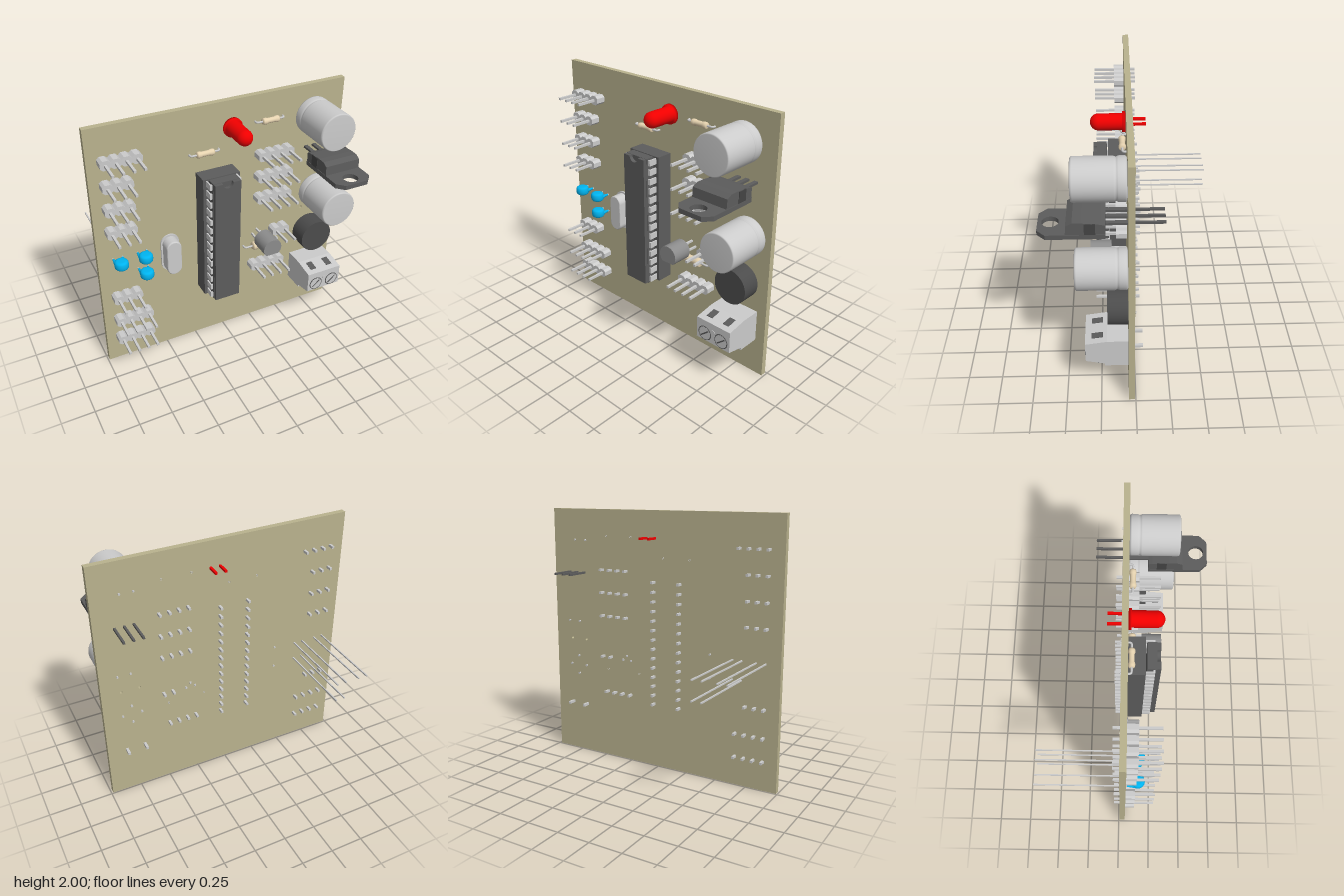
import * as THREE from 'three';

const mats = {};
const mat = (color = 0xcccccc) => (mats[color] ??= new THREE.MeshStandardMaterial({ color, side: THREE.DoubleSide }));
const GREY = 0xcccccc, DARK = 0x5c5c5c, RED = 0xf00000, BLUE = 0x00b4f0, TAN = 0xe6d3b0;
const FACE = 0.05, PITCH = 0.0735;

function add(parent, name, geo, color, x = 0, y = 0, z = 0) {
  const m = new THREE.Mesh(geo, mat(color));
  m.name = name;
  m.position.set(x, y, z);
  parent.add(m);
  return m;
}
function group(parent, name, x = 0, y = 0, z = 0) {
  const g = new THREE.Group();
  g.name = name;
  g.position.set(x, y, z);
  parent.add(g);
  return g;
}
const box = (w, h, d) => new THREE.BoxGeometry(w, h, d);
const rodZ = (r, len, n = 32) => new THREE.CylinderGeometry(r, r, len, n).rotateX(Math.PI / 2);
const v2 = (pts) => pts.map(([x, y]) => new THREE.Vector2(x, y));
const latheZ = (pts, n = 48) => new THREE.LatheGeometry(v2(pts), n).rotateX(Math.PI / 2);
const poly = (pts) => new THREE.Shape(v2(pts));
const extrude = (shape, depth, curveSegments = 16) =>
  new THREE.ExtrudeGeometry(shape, { depth, bevelEnabled: false, curveSegments });
const circle = (x, y, r) => new THREE.Path().absarc(x, y, r, 0, Math.PI * 2, true);
const rect = (x0, y0, x1, y1) => poly([[x0, y0], [x1, y0], [x1, y1], [x0, y1]]);
function stadium(w, h) {
  const r = w / 2, s = h / 2 - r;
  return new THREE.Shape().absarc(0, s, r, 0, Math.PI, false).absarc(0, -s, r, Math.PI, Math.PI * 2, false);
}
// straight pin running from z0 to z1
const pin = (p, name, x, y, z0, z1, w, color = GREY, h = w) =>
  add(p, name, box(w, h, z1 - z0), color, x, y, (z0 + z1) / 2);

function header(p, x, y, n) {
  const g = group(p, 'pinHeader', x, y);
  for (let i = 0; i < n; i++) {
    const a = PITCH / 2, b = 0.018, h = 0.035;
    const s = poly([[-a, -b], [-b, -h], [b, -h], [a, -b], [a, b], [b, h], [-b, h], [-a, b]]);
    add(g, 'headerHousing', extrude(s, 0.075), GREY, i * PITCH, 0, FACE);
    pin(g, 'headerPin', i * PITCH, 0, -0.04, 0.28, 0.018);
  }
}

function resistor(p, x, y, span, len, r) {
  const g = group(p, 'resistor', x, y, FACE + r + 0.002);
  const h = len / 2, e = len * 0.22;
  const prof = [[0, -h], [r * 0.8, -h], [r, -h + 0.01], [r, -h + e], [r * 0.82, -h + e + 0.01],
    [r * 0.82, h - e - 0.01], [r, h - e], [r, h - 0.01], [r * 0.8, h], [0, h]];
  add(g, 'resistorBody', new THREE.LatheGeometry(v2(prof), 24).rotateZ(Math.PI / 2), TAN);
  const s = span / 2, drop = -(FACE + r + 0.002);
  const path = new THREE.CurvePath();
  const P = (a, b) => new THREE.Vector3(a, 0, b);
  path.add(new THREE.LineCurve3(P(h - 0.005, 0), P(s - 0.025, 0)));
  path.add(new THREE.QuadraticBezierCurve3(P(s - 0.025, 0), P(s - 0.008, 0), P(s - 0.008, -0.02)));
  path.add(new THREE.LineCurve3(P(s - 0.008, -0.02), P(s - 0.008, drop)));
  for (const k of [0, Math.PI]) {
    add(g, 'resistorLead', new THREE.TubeGeometry(path, 20, 0.008, 8), GREY).rotation.z = k;
  }
}

function electrolytic(p, x, y) {
  const g = group(p, 'electrolyticCapacitor', x, y, FACE);
  add(g, 'capacitorCan', latheZ([[0, 0], [0.13, 0], [0.141, 0.006], [0.143, 0.015], [0.143, 0.055], [0.138, 0.063],
    [0.136, 0.07], [0.138, 0.077], [0.143, 0.087], [0.143, 0.335], [0.141, 0.344], [0.134, 0.35], [0, 0.35]]), GREY);
  for (const s of [-1, 1]) add(g, 'capacitorLead', rodZ(0.008, 0.06, 8), GREY, s * 0.05, 0, -0.025);
}

function ceramic(p, x, y) {
  const g = group(p, 'ceramicCapacitor', x, y);
  const r = 0.052, t = 0.035, c = 0.025, prof = [[0, -t]];
  for (let i = 0; i <= 8; i++) {
    const a = -Math.PI / 2 + (i / 8) * Math.PI;
    prof.push([r - c + c * Math.cos(a), (t - c) * Math.sign(i - 4) + c * Math.sin(a)]);
  }
  prof.push([0, t]);
  add(g, 'ceramicBody', new THREE.LatheGeometry(v2(prof), 32), BLUE, 0, 0, 0.138);
  for (const s of [-1, 1]) {
    const collar = add(g, 'ceramicCollar', new THREE.CylinderGeometry(0.016, 0.008, 0.06, 12), BLUE, s * 0.034, 0, 0.09);
    collar.rotation.x = Math.PI / 2;
    pin(g, 'ceramicLead', s * 0.036, 0, -0.62, 0.1, 0.01);
  }
}

function chip(p) {
  const g = group(p, 'socketedChip', -0.073, 0.99);
  // open-frame socket
  const frame = rect(-0.143, -0.51, 0.143, 0.51);
  for (let i = 0; i < 3; i++) {
    const y = -0.46 + i * 0.32;
    frame.holes.push(rect(-0.075, y, 0.075, y + 0.28));
  }
  add(g, 'socketFrame', extrude(frame, 0.125), DARK, 0, 0, FACE);
  // chip body with a notch at its upper end
  add(g, 'chipLower', box(0.205, 1.02, 0.07), DARK, 0, 0, 0.22);
  const top = new THREE.Shape();
  top.moveTo(-0.1, -0.508).lineTo(0.1, -0.508).lineTo(0.1, 0.508).lineTo(0.04, 0.508);
  top.absarc(0, 0.508, 0.04, 0, -Math.PI, true);
  top.lineTo(-0.1, 0.508);
  add(g, 'chipUpper', extrude(top, 0.027), DARK, 0, 0, 0.255);
  for (let i = 0; i < 14; i++) for (const s of [-1, 1]) {
    const y = (i - 6.5) * PITCH;
    add(g, 'chipLegShoulder', box(0.026, 0.045, 0.012), GREY, s * 0.108, y, 0.235);
    pin(g, 'chipLeg', s * 0.116, y, 0.17, 0.241, 0.01, GREY, 0.045);
    pin(g, 'socketPin', s * 0.112, y, -0.04, FACE, 0.018);
  }
}

function led(p, x, y) {
  const g = group(p, 'lamp', x, y, FACE);
  const prof = [[0, 0], [0.072, 0], [0.072, 0.022], [0.058, 0.022], [0.058, 0.185]];
  for (let i = 1; i <= 10; i++) {
    const a = (i / 10) * Math.PI / 2;
    prof.push([0.058 * Math.cos(a), 0.185 + 0.058 * Math.sin(a)]);
  }
  add(g, 'lampDome', latheZ(prof), RED);
  for (const s of [-1, 1]) pin(g, 'lampLead', s * 0.037, 0, -0.14, 0.01, 0.017, RED);
}

function regulator(p) {
  const g = group(p, 'regulator', 0.762, 1.43);
  // metal tab, drawn with shape y as -z
  const tab = poly([[-0.143, -0.19], [0.143, -0.19], [0.143, -0.565], [0.09, -0.62], [-0.09, -0.62], [-0.143, -0.565]]);
  tab.holes.push(circle(0, -0.54, 0.055));
  add(g, 'regulatorTab', extrude(tab, 0.033).rotateX(-Math.PI / 2), DARK);
  // moulded body, side profile in (z, y), with side recesses
  const prof = poly([[0.19, 0.03], [0.44, 0.03], [0.435, 0.1], [0.395, 0.12], [0.34, 0.12], [0.22, 0.108], [0.19, 0.1]]);
  add(g, 'regulatorBody', extrude(prof, 0.28).rotateY(-Math.PI / 2), DARK, 0.14);
  for (const s of [-1, 1]) add(g, 'regulatorSideNotch', box(0.008, 0.08, 0.07), 0x444444, s * 0.139, 0.073, 0.287);
  for (let i = -1; i <= 1; i++) {
    pin(g, 'regulatorLead', i * 0.07, 0.07, -0.19, 0.2, 0.016, DARK);
    pin(g, 'regulatorLeadShoulder', i * 0.07, 0.07, 0.03, 0.2, 0.03, DARK, 0.016);
  }
}

function terminal(p) {
  const g = group(p, 'screwTerminal', 0.762, 0);
  const prof = poly([[0.05, 0.285], [0.22, 0.285], [0.22, 0.305], [0.355, 0.335], [0.355, 0.5], [0.2, 0.525], [0.05, 0.525]]);
  add(g, 'terminalBody', extrude(prof, 0.295).rotateY(-Math.PI / 2), GREY, 0.1475);
  add(g, 'terminalSlot', box(0.29, 0.016, 0.006), DARK, 0, 0.315, 0.262).rotation.x = -0.9;
  add(g, 'terminalStud', rodZ(0.015, 0.01, 20), GREY, 0, 0.435, 0.354);
  for (const s of [-1, 1]) {
    add(g, 'screwRim', new THREE.TorusGeometry(0.053, 0.004, 8, 32), DARK, s * 0.073, 0.395, 0.355);
    add(g, 'screwHead', rodZ(0.05, 0.008), GREY, s * 0.073, 0.395, 0.354);
    add(g, 'screwSlot', box(0.085, 0.01, 0.004), DARK, s * 0.073, 0.395, 0.358).rotation.z = 0.7;
    add(g, 'wireSlot', box(0.05, 0.004, 0.08), DARK, s * 0.073, 0.515, 0.27).rotation.x = 0.16;
    pin(g, 'terminalPin', s * 0.073, 0.405, -0.055, 0.06, 0.02);
  }
}

export function createModel() {
  const model = new THREE.Group();
  model.name = 'circuitBoard';

  // board with two open drill holes
  const board = rect(-0.99, 0, 0.985, 2);
  for (const x of [0.69, 0.832]) board.holes.push(circle(x, 0.955, 0.011));
  add(model, 'board', extrude(board, 0.043), 0xb9b28e, 0, 0, 0.007);

  for (const [y, n] of [[1.755, 4], [1.575, 3], [1.39, 3], [1.205, 3], [0.62, 3], [0.405, 4], [0.225, 4]]) header(model, -0.88, y, n);
  for (const [x, y, n] of [[0.29, 1.535, 4], [0.29, 1.355, 4], [0.29, 1.17, 4], [0.437, 0.84, 2], [0.255, 0.55, 4]]) header(model, x, y, n);

  chip(model);
  led(model, 0.07, 1.795);
  regulator(model);
  terminal(model);
  resistor(model, -0.15, 1.65, 0.24, 0.135, 0.024);
  resistor(model, 0.363, 1.797, 0.24, 0.135, 0.024);
  resistor(model, 0.325, 0.735, 0.31, 0.17, 0.034);
  electrolytic(model, 0.727, 1.757);
  electrolytic(model, 0.8, 1.1);
  for (const [x, y] of [[-0.842, 0.955], [-0.658, 0.955], [-0.658, 0.81]]) ceramic(model, x, y);

  // crystal can on its flange
  const crystal = group(model, 'crystal', -0.44, 0.88, FACE);
  add(crystal, 'crystalFlange', extrude(stadium(0.143, 0.32), 0.012), GREY);
  add(crystal, 'crystalCan', new THREE.ExtrudeGeometry(stadium(0.1, 0.275), {
    depth: 0.084, bevelThickness: 0.012, bevelSize: 0.008, bevelSegments: 4, curveSegments: 16 }), GREY, 0, 0, 0.002);
  for (const s of [-1, 1]) add(crystal, 'crystalLead', rodZ(0.008, 0.06, 8), GREY, 0, s * 0.09, -0.025);

  // transistor: round body with a flat lower side
  const transistor = group(model, 'transistor', 0.29, 0.845);
  const dShape = new THREE.Shape().absarc(0, 0, 0.075, -0.82, Math.PI + 0.82, false);
  add(transistor, 'transistorBody', extrude(dShape, 0.155, 32), 0x8c8c8c, 0, 0, 0.16);
  for (let i = -1; i <= 1; i++) pin(transistor, 'transistorLead', i * 0.037, i ? -0.015 : 0.02, -0.005, 0.17, 0.014);

  // round bridge rectifier
  const bridge = group(model, 'bridgeRectifier', 0.765, 0.735, FACE);
  add(bridge, 'bridgeBody', rodZ(0.133, 0.143, 48), 0x4c4c4c, 0, 0, 0.0715);
  for (const a of [0, 1, 2, 3]) {
    add(bridge, 'bridgeLead', rodZ(0.009, 0.06, 8), GREY, 0.075 * Math.cos(a * Math.PI / 2), 0.075 * Math.sin(a * Math.PI / 2), -0.025);
  }
  return model;
}
